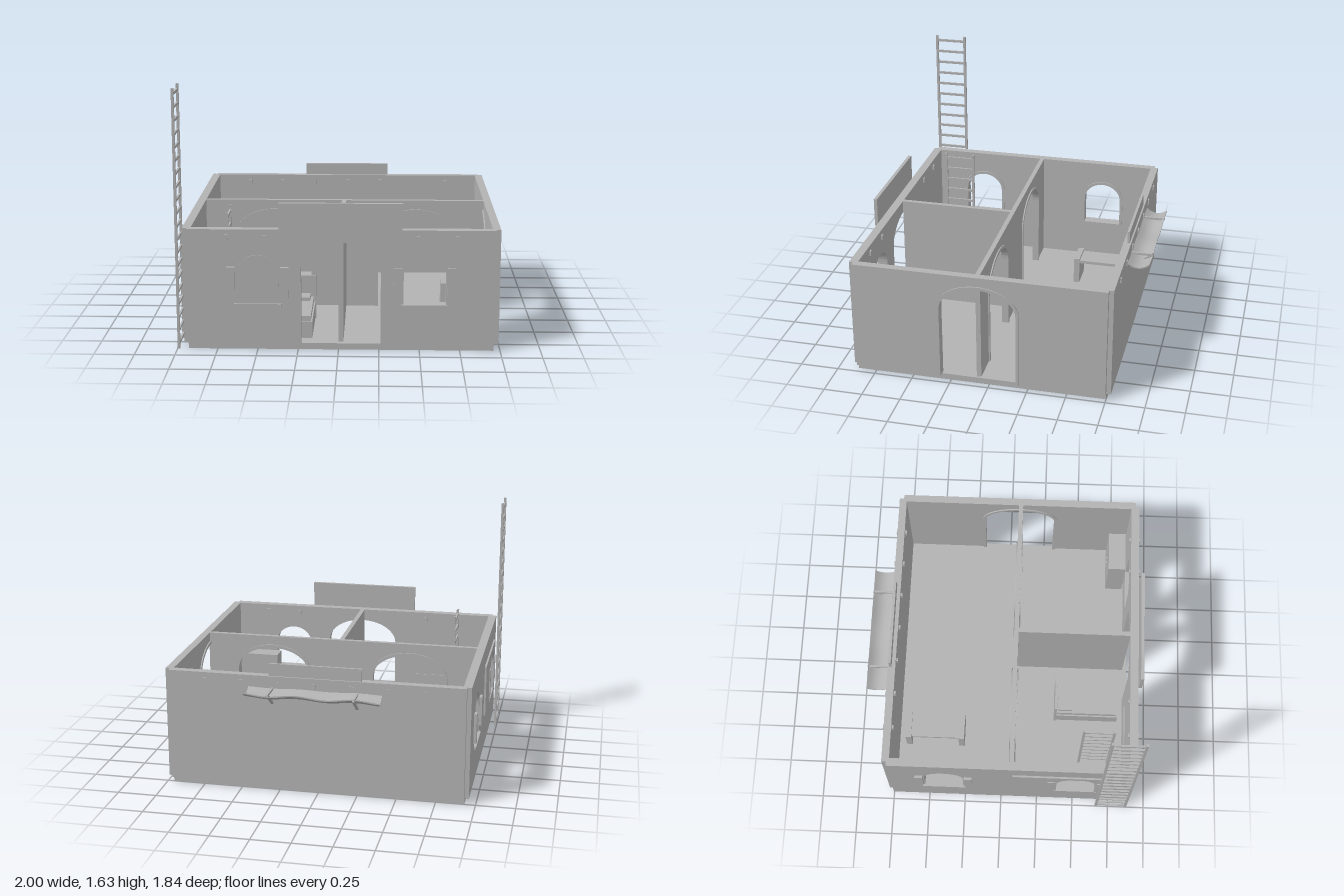
import * as THREE from 'three';

const grey = new THREE.MeshStandardMaterial({ color: 0xb2b2b2 });
grey.name = 'plain grey';
const greySheet = grey; // every part shares the one colour
const FLOOR = 0.04, TOP = 0.77;

function add(parent, name, geometry) {
  const mesh = new THREE.Mesh(geometry, greySheet);
  mesh.name = name;
  parent.add(mesh);
  return mesh;
}

// box given by its limits on each axis
function box(parent, name, x0, x1, y0, y1, z0, z1) {
  const mesh = add(parent, name, new THREE.BoxGeometry(x1 - x0, y1 - y0, z1 - z0));
  mesh.position.set((x0 + x1) / 2, (y0 + y1) / 2, (z0 + z1) / 2);
  return mesh;
}

// arch outline from bottom left, over the top, to bottom right
function arch(cx, half, y0, spring, top, grow = 0) {
  const pts = [new THREE.Vector2(cx - half - grow, y0)];
  for (let i = 0; i <= 20; i++) {
    const a = Math.PI * (1 - i / 20);
    pts.push(new THREE.Vector2(cx + (half + grow) * Math.cos(a), spring + (top + grow - spring) * Math.sin(a)));
  }
  pts.push(new THREE.Vector2(cx + half + grow, y0));
  return pts;
}
const door = (cx, grow) => arch(cx, 0.245, FLOOR, 0.53, 0.69, grow);
const pane = (cx, grow) => arch(cx, 0.13, 0.3, 0.49, 0.61, grow);

function extrude(parent, name, shape, z0, z1) {
  const mesh = add(parent, name, new THREE.ExtrudeGeometry(shape, { depth: z1 - z0, bevelEnabled: false }));
  mesh.position.z = z0;
  return mesh;
}

// wall with door notches and window holes, lying along local x
function wall(parent, name, x0, x1, z0, z1, doors = [], windows = []) {
  const V = (x, y) => new THREE.Vector2(x, y);
  const pts = [V(x0, FLOOR), ...doors.flatMap(c => door(c)), V(x1, FLOOR), V(x1, TOP), V(x0, TOP)];
  const shape = new THREE.Shape(pts);
  windows.forEach(c => shape.holes.push(new THREE.Path(pane(c))));
  extrude(parent, name, shape, z0, z1);
}

function trim(parent, outline, c, z0, z1) {
  extrude(parent, 'archTrim', new THREE.Shape([...outline(c, 0.02), ...outline(c).reverse()]), z0, z1);
}

// sill and a pair of shutters on the outer face z
function windowDressing(parent, c, z) {
  box(parent, 'windowSill', c - 0.145, c + 0.145, 0.285, 0.302, z - 0.06, z + 0.015);
  for (const s of [-1, 1]) {
    const x = c + s * 0.165;
    box(parent, 'shutter', x - 0.026, x + 0.026, 0.34, 0.535, z, z + 0.018);
  }
}

// upright ladder at x, spanning z0 to z1
function ladder(parent, name, x, z0, z1, y0, y1, step) {
  const g = new THREE.Group();
  g.name = name;
  parent.add(g);
  const t = 0.008;
  for (const z of [z0 + t, z1 - t]) box(g, 'ladderRail', x - t, x + t, y0, y1, z - t, z + t);
  for (let y = y1 - 0.035; y > y0 + 0.03; y -= step)
    box(g, 'ladderRung', x - 0.006, x + 0.006, y - 0.008, y + 0.008, z0 + t, z1 - t);
}

export function createModel() {
  const model = new THREE.Group();
  model.name = 'building';
  box(model, 'base', -0.93, 0.96, 0, FLOOR, -0.75, 0.87);

  // front and back walls
  wall(model, 'frontWall', -0.93, 0.96, 0.84, 0.895, [0.015], [0.53]);
  wall(model, 'backWall', -0.93, 0.96, -0.78, -0.73);
  extrude(model, 'blindWindow', new THREE.Shape(pane(-0.495)), 0.895, 0.898);
  for (const c of [-0.495, 0.53]) windowDressing(model, c, 0.895);

  // inner walls
  wall(model, 'crossWall', -0.905, 0.945, 0.055, 0.085, [-0.45, 0.49]);
  for (const c of [-0.45, 0.49]) {
    trim(model, door, c, 0.047, 0.055);
    trim(model, door, c, 0.085, 0.093);
  }
  box(model, 'partition', 0, 0.03, FLOOR, TOP, 0.085, 0.84);

  // right-hand side of the plan: local x runs towards -z, local z towards +x
  const doorSide = new THREE.Group();
  doorSide.name = 'doorSide';
  doorSide.rotation.y = Math.PI / 2;
  model.add(doorSide);
  wall(doorSide, 'sideWall', -0.87, 0.75, 0.94, 0.99, [-0.065]);
  trim(doorSide, door, -0.065, 0.99, 0.998);
  trim(doorSide, door, -0.065, 0.932, 0.94);

  // window side: local x runs towards +z, local z towards -x
  const windowSide = new THREE.Group();
  windowSide.name = 'windowSide';
  windowSide.rotation.y = -Math.PI / 2;
  model.add(windowSide);
  wall(windowSide, 'sideWall', -0.75, 0.87, 0.905, 0.958, [], [-0.385, 0.505]);
  for (const c of [-0.385, 0.505]) {
    windowDressing(windowSide, c, 0.958);
    trim(windowSide, pane, c, 0.897, 0.905);
  }
  const board = new THREE.Shape([[0.08, 0.29], [0.7, 0.29], [0.7, 0.64], [0.08, 0.64]].map(p => new THREE.Vector2(...p)));
  board.holes.push(new THREE.Path(pane(0.505)));
  extrude(windowSide, 'wallBoard', board, 0.958, 0.97);

  // sign boards
  box(model, 'frontSign', -0.36, 0.39, 0.75, 0.94, 0.896, 0.918);
  box(model, 'backSign', -0.28, 0.31, 0.75, 0.85, -0.77, -0.755);

  // beam ends
  for (let i = 0; i < 7; i++) {
    const x = -0.685 + i * 0.2345;
    box(model, 'beamEnd', x - 0.012, x + 0.012, 0.705, 0.737, -0.788, -0.718);
    if (i < 2 || i > 4) box(model, 'beamEnd', x - 0.012, x + 0.012, 0.705, 0.737, 0.83, 0.905);
  }

  // wavy awning on two struts
  const sheet = new THREE.BoxGeometry(0.85, 0.008, 0.14, 48, 1, 6);
  const p = sheet.attributes.position;
  for (let i = 0; i < p.count; i++) {
    const x = p.getX(i), t = p.getZ(i) / 0.14;
    p.setY(i, p.getY(i) + 0.014 * Math.sin(x * 17) * (0.4 - t * 0.4) - 0.03 * (0.25 - t * t) * 4);
  }
  sheet.computeVertexNormals();
  add(model, 'awning', sheet).position.set(0.015, 0.69, -0.85);
  for (const x of [-0.255, 0.285]) {
    const strut = add(model, 'awningStrut', new THREE.BoxGeometry(0.014, 0.014, 0.175));
    strut.position.set(x, 0.645, -0.85);
    strut.rotation.x = Math.atan2(0.1, 0.14);
    box(model, 'awningArm', x - 0.007, x + 0.007, 0.684, 0.698, -0.92, -0.78);
  }

  // ladders
  ladder(model, 'outerLadder', -0.992, 0.66, 0.88, 0, 1.63, 0.0822);
  ladder(model, 'innerLadder', -0.695, 0.53, 0.745, FLOOR, 0.84, 0.0822);

  // bed
  const bed = new THREE.Group();
  bed.name = 'bed';
  model.add(bed);
  box(bed, 'bedFrame', -0.395, -0.165, 0.05, 0.155, 0.37, 0.8);
  box(bed, 'mattress', -0.385, -0.175, 0.155, 0.19, 0.375, 0.79);
  box(bed, 'pillow', -0.37, -0.195, 0.19, 0.215, 0.38, 0.48);
  box(bed, 'headboard', -0.4, -0.16, FLOOR, 0.33, 0.355, 0.37);

  // bench with two end boards
  box(model, 'benchSeat', -0.6, -0.44, 0.19, 0.21, -0.67, -0.28);
  for (const z of [-0.66, -0.29]) box(model, 'benchEnd', -0.61, -0.43, FLOOR, 0.225, z - 0.02, z + 0.02);

  // stove counter and its plates
  box(model, 'counter', -0.88, -0.755, FLOOR, 0.25, 0.43, 0.81);
  box(model, 'counterBox', -0.89, -0.77, 0.25, 0.31, 0.665, 0.8);
  for (const z of [0.51, 0.59, 0.645])
    add(model, 'plate', new THREE.CylinderGeometry(0.02, 0.02, 0.02, 20)).position.set(-0.815, 0.258, z);

  // cabinet under the window
  box(model, 'cabinet', 0.63, 0.905, FLOOR, 0.42, 0.71, 0.83);
  for (const x of [0.75, 0.785]) box(model, 'cabinetKnob', x - 0.006, x + 0.006, 0.24, 0.26, 0.7, 0.71);
  return model;
}
